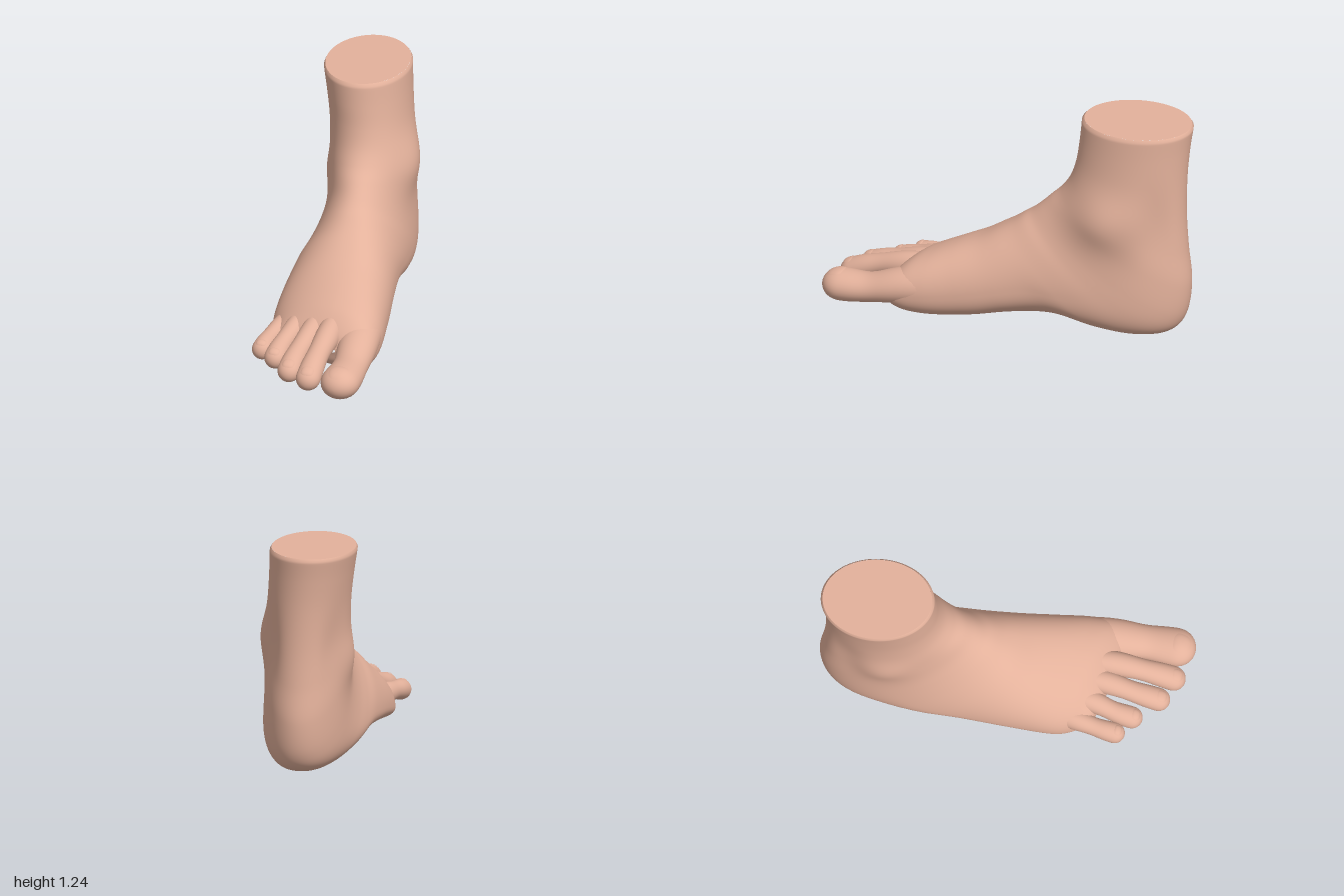
import * as THREE from 'three';

const V = (x, y, z) => new THREE.Vector3(x, y, z);
const { smoothstep, clamp } = THREE.MathUtils;

// Smooth surface from rings: fn(s, angle) with s from 0 to 1, closed around the angle
function ringSurface(fn, rows, cols) {
  const pos = [], idx = [];
  for (let i = 0; i <= rows; i++) {
    for (let j = 0; j < cols; j++) pos.push(...fn(i / rows, (j / cols) * Math.PI * 2).toArray());
  }
  for (let i = 0; i < rows; i++) {
    for (let j = 0; j < cols; j++) {
      const a = i * cols + j, b = i * cols + ((j + 1) % cols);
      idx.push(a, b, a + cols, b, b + cols, a + cols);
    }
  }
  const g = new THREE.BufferGeometry();
  g.setAttribute('position', new THREE.Float32BufferAttribute(pos, 3));
  g.setIndex(idx);
  g.computeVertexNormals();
  return g;
}

// Rings from shin to toe roots: front z,y | back z,y | x min, max, apex | widest fraction
const RINGS = [
  [-0.385, 1.235, -0.995, 1.235, -0.247, 0.222, -0.013, 0.5],
  [-0.375, 1.1, -0.978, 1.1, -0.225, 0.227, 0.0, 0.5],
  [-0.36, 0.98, -0.967, 0.93, -0.207, 0.236, 0.015, 0.5],
  [-0.33, 0.88, -0.967, 0.72, -0.198, 0.248, 0.025, 0.5],
  [-0.28, 0.8, -0.98, 0.52, -0.193, 0.252, 0.03, 0.5],
  [-0.22, 0.74, -1.0, 0.32, -0.19, 0.255, 0.035, 0.48],
  [-0.17, 0.69, -0.975, 0.14, -0.195, 0.265, 0.04, 0.46],
  [-0.12, 0.645, -0.9, 0.045, -0.207, 0.275, 0.04, 0.45],
  [-0.07, 0.61, -0.75, 0.015, -0.225, 0.283, 0.045, 0.43],
  [-0.01, 0.565, -0.55, 0.03, -0.25, 0.285, 0.05, 0.42],
  [0.06, 0.52, -0.3, 0.07, -0.275, 0.285, 0.06, 0.42],
  [0.16, 0.46, -0.05, 0.055, -0.295, 0.3, 0.075, 0.41],
  [0.27, 0.41, 0.18, 0.02, -0.305, 0.32, 0.085, 0.4],
  [0.37, 0.362, 0.36, 0.0, -0.3, 0.335, 0.085, 0.4],
  [0.46, 0.312, 0.48, 0.015, -0.275, 0.322, 0.08, 0.4],
  [0.54, 0.235, 0.55, 0.065, -0.235, 0.27, 0.06, 0.42],
  [0.575, 0.165, 0.57, 0.13, -0.06, 0.12, 0.04, 0.5],
];
const track = (f) => new THREE.CatmullRomCurve3(RINGS.map(f), false, 'catmullrom', 0.5);
const frontLine = track((r) => V(r[7], r[1], r[0]));
const backLine = track((r) => V(r[6], r[3], r[2]));
const widthLine = track((r) => V(r[4], r[5], 0));

const signedPow = (v, e) => Math.sign(v) * Math.abs(v) ** e;
const bump = (p, y, z, ry, rz) => Math.exp(-(((p.y - y) / ry) ** 2) - ((p.z - z) / rz) ** 2);

function footPoint(s, a) {
  const f = frontLine.getPoint(s), b = backLine.getPoint(s), w = widthLine.getPoint(s);
  const sole = smoothstep(s, 0.3, 0.6);
  const instep = smoothstep(s, 0.42, 0.66);
  const c = Math.cos(a), n = Math.sin(a);
  // flat sole, sloping outer side with a low edge, fuller and steeper inner side
  const outerSlope = 0.2 * smoothstep(s, 0.6, 0.8) - 0.06 * sole;
  const e = 1 + (n < 0 ? -0.22 * sole : c < 0 ? outerSlope : -0.14 * sole);
  const widest = f.x + instep * (c < 0 ? -0.15 : 0.05);
  const cx = signedPow(c, e), k = signedPow(n, n < 0 ? e : 1);
  const v = widest + (n > 0 ? 1 - widest : widest) * k;
  const p = V(
    b.x + cx * (c > 0 ? w.y - b.x : b.x - w.x),
    b.y + (f.y - b.y) * v,
    b.z + (f.z - b.z) * v
  );
  // ankle bones, and the hollows beside the heel tendon
  const side = clamp(c * 1.6, -1, 1);
  if (c > 0) p.x += 0.042 * side * bump(p, 0.71, -0.55, 0.15, 0.18);
  else p.x += 0.028 * side * bump(p, 0.61, -0.64, 0.13, 0.15);
  p.x -= 0.022 * side * bump(p, 0.7, -0.85, 0.2, 0.09);
  // inner arch
  if (n < 0 && c > 0) p.y += 0.04 * c * -n * bump(p, 0.08, -0.18, 0.25, 0.25);
  // toe roots run further forward on the inner side
  p.z += 0.35 * p.x * smoothstep(p.z, 0.1, 0.55);
  // rounded rim at the cut
  const h = clamp((p.y - 1.215) / 0.02, 0, 1);
  const q = 1 - 0.04 * (1 - Math.sqrt(1 - h * h));
  p.x = -0.013 + (p.x + 0.013) * q;
  p.z = -0.69 + (p.z + 0.69) * q;
  return p;
}

// Toes: centre line from root to tip, radius, height ratio
const TOES = [
  { name: 'bigToe', path: [[0.222, 0.18, 0.35], [0.23, 0.17, 0.53], [0.231, 0.125, 0.75], [0.203, 0.108, 1.0]], r: 0.107, flat: 0.82 },
  { name: 'secondToe', path: [[0.08, 0.215, 0.38], [0.07, 0.21, 0.58], [0.05, 0.165, 0.77], [0.033, 0.085, 0.95]], r: 0.067, flat: 0.95 },
  { name: 'thirdToe', path: [[-0.01, 0.205, 0.34], [-0.033, 0.195, 0.53], [-0.07, 0.15, 0.71], [-0.09, 0.085, 0.875]], r: 0.063, flat: 0.95 },
  { name: 'fourthToe', path: [[-0.11, 0.175, 0.3], [-0.138, 0.175, 0.46], [-0.18, 0.135, 0.6], [-0.2, 0.085, 0.735]], r: 0.06, flat: 0.98 },
  { name: 'littleToe', path: [[-0.195, 0.125, 0.25], [-0.232, 0.135, 0.38], [-0.272, 0.12, 0.52], [-0.293, 0.09, 0.647]], r: 0.056, flat: 1 },
];

function toeSurface({ path, r, flat }) {
  const curve = new THREE.CatmullRomCurve3(path.map((p) => V(...p)));
  const tipStart = 1 - (1.15 * r) / curve.getLength();
  return (t, a, grow = 0) => {
    const c = curve.getPointAt(t), d = curve.getTangentAt(t);
    const u = V(1, 0, 0).addScaledVector(d, -d.x).normalize();
    const v = d.clone().cross(u);
    const k = Math.max(0, (t - tipStart) / (1 - tipStart));
    const waist = 1 - 0.12 * Math.exp(-(((t - 0.58) / 0.16) ** 2));
    const rad = r * waist * Math.sqrt(Math.max(0, 1 - k ** 2.3)) + grow;
    // taller root that melts into the top of the foot
    const tall = flat * (1 + 0.3 * Math.exp(-((t / 0.32) ** 2)));
    return c.addScaledVector(u, rad * Math.cos(a)).addScaledVector(v, rad * tall * Math.sin(a));
  };
}

export function createModel() {
  const model = new THREE.Group();
  model.name = 'foot';
  const skin = new THREE.MeshStandardMaterial({ color: 0xe3b19b });
  skin.name = 'skin';
  const add = (name, geometry) => {
    const mesh = new THREE.Mesh(geometry, skin);
    mesh.name = name;
    model.add(mesh);
    return mesh;
  };

  add('footAndAnkle', ringSurface(footPoint, 160, 80));

  // flat cut above the ankle
  const cut = add('ankleCut', new THREE.CircleGeometry(1, 80).rotateX(-Math.PI / 2));
  cut.scale.set(0.2251, 1, 0.2928);
  cut.position.set(-0.013, 1.235, -0.69);

  for (const toe of TOES) {
    const surf = toeSurface(toe);
    add(toe.name, ringSurface((s, a) => surf(1 - (1 - s) ** 2, a), 40, 32));
    // nail: thin rounded patch lying on the toe
    const length = toe.name === 'bigToe' ? 0.075 : 0.05;
    add(toe.name + 'Nail', ringSurface((s, a) => surf(
      0.885 + length * s * signedPow(Math.cos(a), 0.7),
      Math.PI / 2 + 0.55 * s * signedPow(Math.sin(a), 0.7),
      0.004 - 0.003 * s ** 4
    ), 8, 28));
  }
  return model;
}
